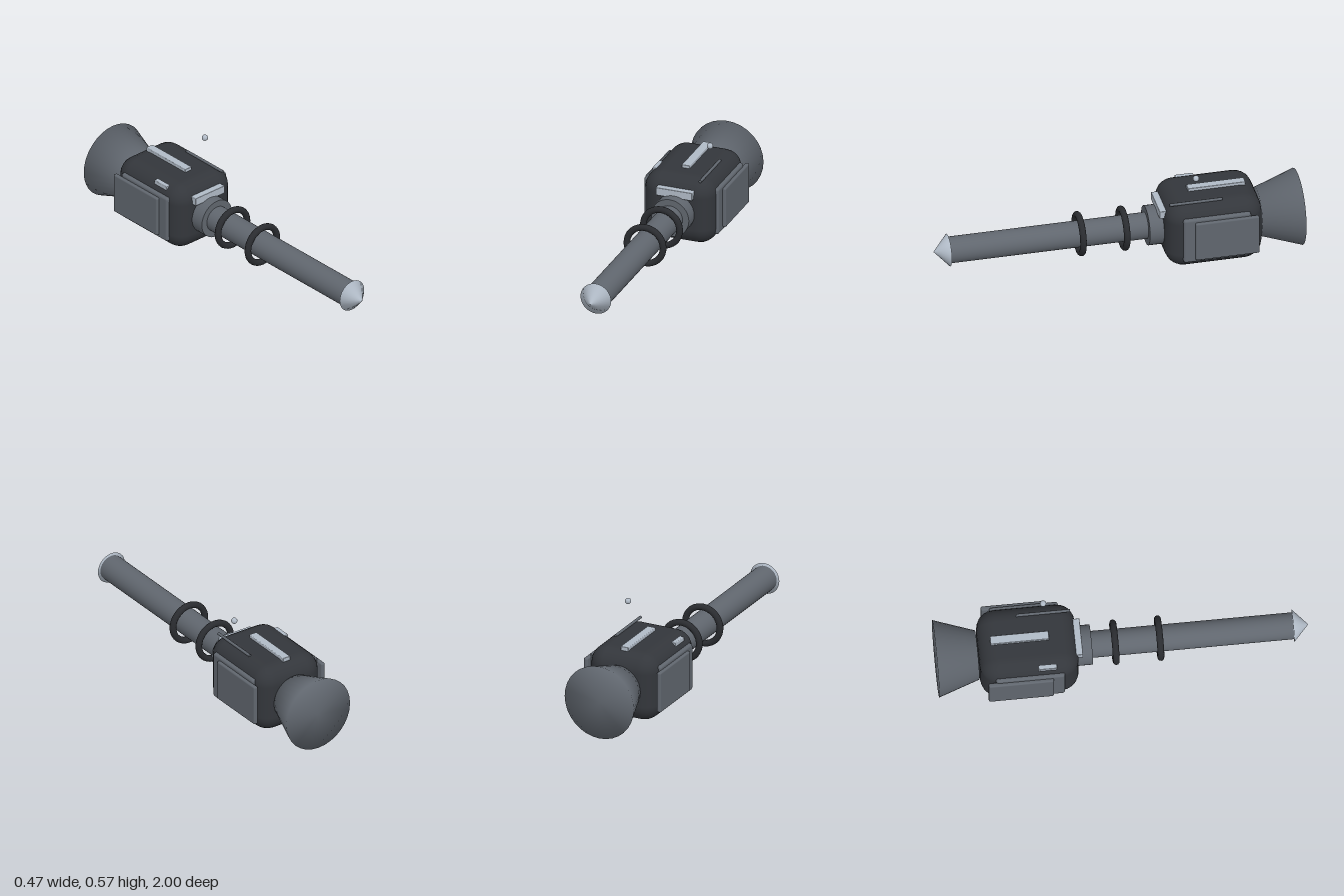
import * as THREE from 'three';
import { RoundedBoxGeometry } from 'three/addons/geometries/RoundedBoxGeometry.js';

const AXIS_Y = 0.208;

export function createModel() {
  const model = new THREE.Group();
  model.name = 'probe';
  const mat = (color) => new THREE.MeshStandardMaterial({ color });
  const dark = mat(0x33363b);
  const black = mat(0x2a2c30);
  const grey = mat(0x60666e);
  const pale = mat(0xb0bac6);

  const add = (name, geometry, material, x = 0, y = 0, z = 0) => {
    const mesh = new THREE.Mesh(geometry, material);
    mesh.name = name;
    mesh.position.set(x, y, z);
    model.add(mesh);
  };
  // Profile of [radius, z] pairs, from back to front, turned around the long axis
  const turned = (profile) =>
    new THREE.LatheGeometry(profile.map(([r, z]) => new THREE.Vector2(r, z)), 32).rotateX(Math.PI / 2);
  const rod = (radius, length, sides) =>
    new THREE.CylinderGeometry(radius, radius, length, sides).rotateX(Math.PI / 2);

  // Main body
  add('body', new RoundedBoxGeometry(0.408, 0.387, 0.53, 3, 0.1), dark, 0, 0.21, -0.508);

  // Barrel and its collar
  add('barrel', rod(0.072, 1.17, 32), grey, 0, AXIS_Y, 0.335);
  add('collar', rod(0.108, 0.09, 32), grey, 0, AXIS_Y, -0.21);

  // Pointed tip and flared exhaust, closed and softly shaded
  add('tip', turned([[0, 0.918], [0.088, 0.918], [0, 1]]), pale, 0, AXIS_Y);
  add('exhaust', turned([[0, -1], [0.208, -1], [0.132, -0.777], [0, -0.777]]), grey, 0, AXIS_Y);

  // Rings around the barrel
  for (const z of [-0.04, 0.2]) {
    add('barrelRing', new THREE.TorusGeometry(0.104, 0.018, 12, 40), black, 0, AXIS_Y, z);
  }

  // Layered side plates
  for (const side of [-1, 1]) {
    add('innerSidePlate', new RoundedBoxGeometry(0.04, 0.268, 0.37, 2, 0.014), grey, side * 0.195, AXIS_Y, -0.51);
    add('outerSidePlate', new RoundedBoxGeometry(0.025, 0.23, 0.35, 2, 0.009), grey, side * 0.22, AXIS_Y, -0.562);
  }

  // Pale fittings on the front and top
  add('frontPanel', new RoundedBoxGeometry(0.208, 0.046, 0.05, 2, 0.004), pale, 0, 0.325, -0.243);
  add('topStrip', new RoundedBoxGeometry(0.047, 0.025, 0.315, 2, 0.004), pale, 0, 0.408, -0.55);
  add('topBlock', new RoundedBoxGeometry(0.04, 0.04, 0.1, 2, 0.004), pale, -0.162, 0.367, -0.415);

  // Antenna rod lying along the top, with the ball above it
  add('antennaRod', rod(0.008, 0.29, 12), grey, 0.133, 0.402, -0.41);
  add('antennaBall', new THREE.SphereGeometry(0.017, 20, 14), pale, 0.133, 0.55, -0.41);

  return model;
}
